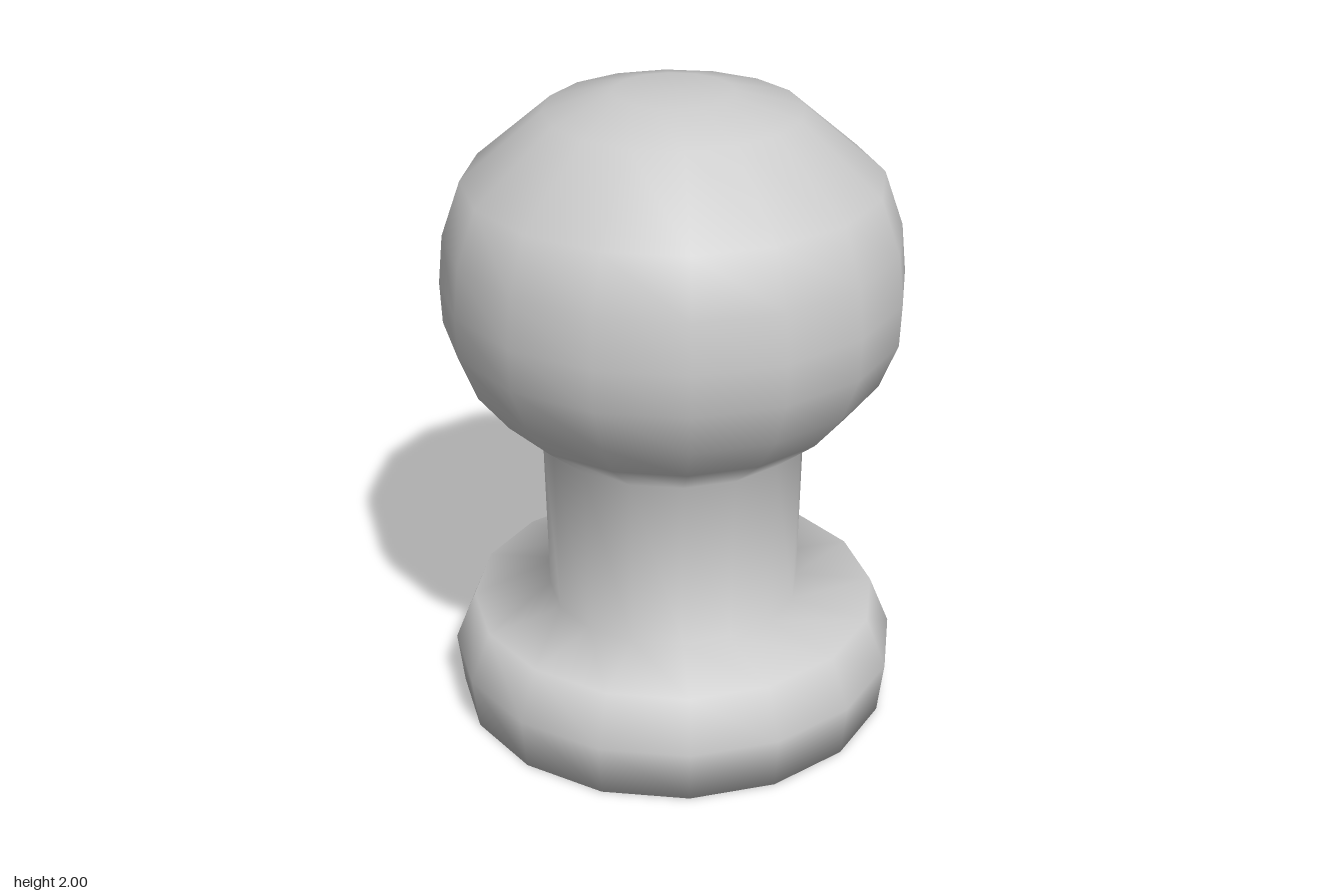
import * as THREE from 'three';
import { mergeVertices } from 'three/addons/utils/BufferGeometryUtils.js';

// Outline as [radius, height], from the underside to the crown
const foot = [[0, 0], [0.69, 0], [0.71, 0.17], [0.645, 0.33]];
const neck = [[0.4, 0.36], [0.41, 0.915]];
const head = [[0.55, 1.03], [0.645, 1.15], [0.7, 1.29], [0.705, 1.42], [0.69, 1.57],
  [0.63, 1.74], [0.385, 1.948], [0.18, 2], [0, 2]];

export function createModel() {
  const group = new THREE.Group();
  group.name = 'knob';

  // One continuous 16-sided turned body, smooth across every edge
  const profile = [...foot, ...neck, ...head].map(([r, y]) => new THREE.Vector2(r, y));
  const lathe = new THREE.LatheGeometry(profile, 16);
  lathe.deleteAttribute('uv');
  lathe.deleteAttribute('normal');
  const body = mergeVertices(lathe, 1e-4);
  body.computeVertexNormals();

  const mesh = new THREE.Mesh(body, new THREE.MeshStandardMaterial({ color: 0xcccccc }));
  mesh.name = 'turnedBody';
  group.add(mesh);
  return group;
}
